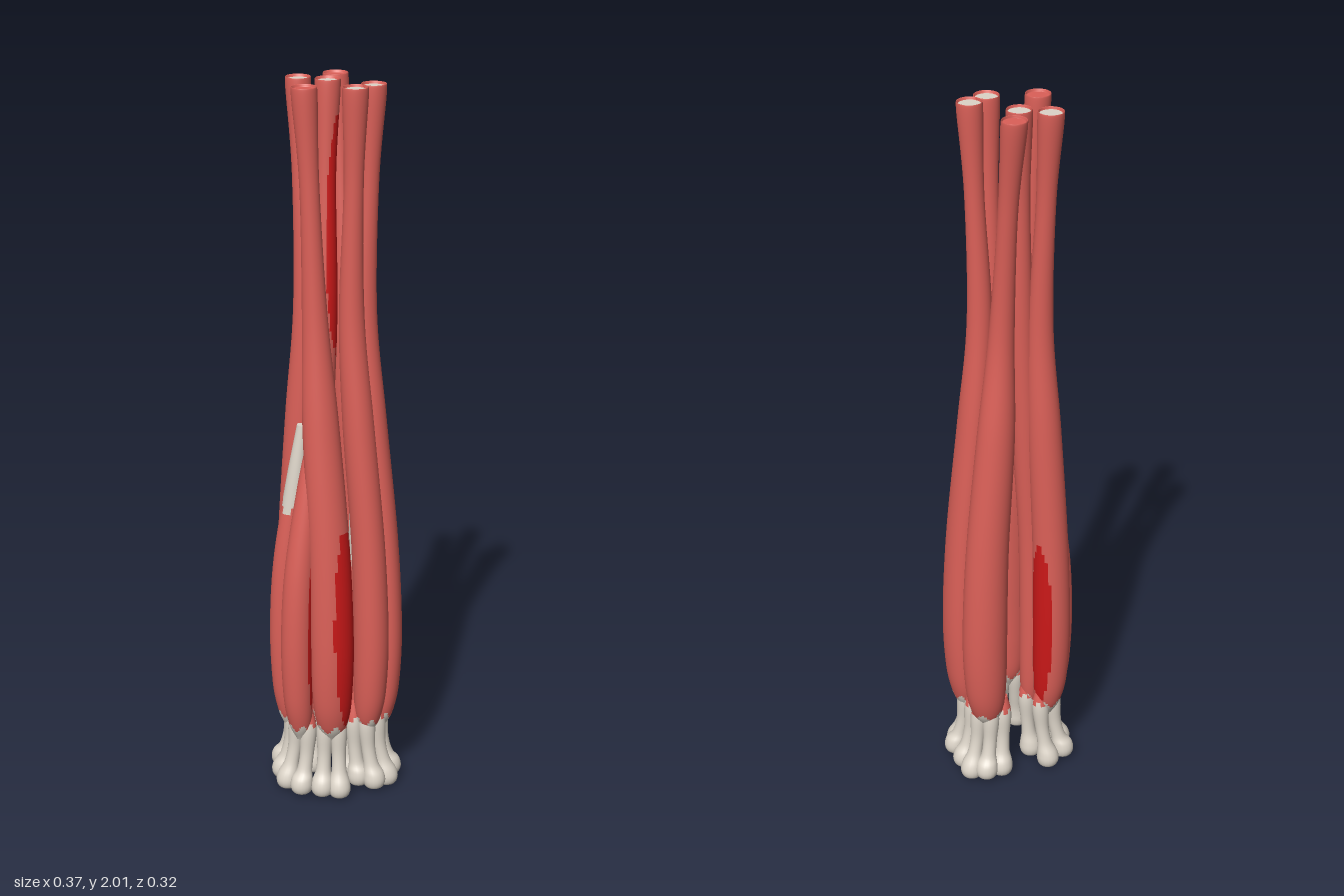
import * as THREE from 'three';

const muscleRed = new THREE.MeshStandardMaterial({ color: 0xdb6058 });
const tendonCream = new THREE.MeshStandardMaterial({ color: 0xdcd4c8 });
const deepRed = new THREE.MeshStandardMaterial({ color: 0xcb1818 });
const palette = [muscleRed, tendonCream, deepRed];
const RED = 0, CREAM = 1, DEEP = 2;

// Lofted strand through sections { y, x, z, rx, rz }, listed top to bottom.
// paint(y, angle) picks the colour of each face; topColour that of the end cap.
function strand(name, sections, paint, topColour, rings, sides) {
  const spline = (f) => new THREE.CatmullRomCurve3(sections.map(f), false, 'catmullrom', 0.5);
  const path = spline((s) => new THREE.Vector3(s.x, s.y, s.z));
  const size = spline((s) => new THREE.Vector3(s.rx, 0, s.rz));
  const pos = [], faces = palette.map(() => []);
  const addRing = (t) => {
    const p = path.getPoint(t), r = size.getPoint(t);
    for (let j = 0; j < sides; j++) {
      const a = (j / sides) * Math.PI * 2;
      pos.push(p.x + Math.cos(a) * r.x, p.y, p.z + Math.sin(a) * r.z);
    }
    return p;
  };
  for (let i = 0; i <= rings; i++) addRing(i / rings);
  for (let i = 0; i < rings; i++) {
    const y = path.getPoint((i + 0.5) / rings).y;
    for (let j = 0; j < sides; j++) {
      const a = i * sides + j, b = i * sides + ((j + 1) % sides);
      const c = a + sides, d = b + sides;
      faces[paint(y, ((j + 0.5) / sides) * Math.PI * 2)].push(a, b, c, b, d, c);
    }
  }
  // End caps with their own vertices so the rims stay crisp
  for (const end of [0, 1]) {
    const start = pos.length / 3;
    const p = addRing(end);
    pos.push(p.x, p.y, p.z);
    for (let j = 0; j < sides; j++) {
      const a = start + j, b = start + ((j + 1) % sides);
      faces[end ? CREAM : topColour].push(start + sides, end ? a : b, end ? b : a);
    }
  }
  const geo = new THREE.BufferGeometry();
  geo.setAttribute('position', new THREE.Float32BufferAttribute(pos, 3));
  geo.setIndex(faces.flat());
  let offset = 0;
  faces.forEach((f, m) => {
    if (f.length) geo.addGroup(offset, f.length, m);
    offset += f.length;
  });
  geo.computeVertexNormals();
  const mesh = new THREE.Mesh(geo, palette);
  mesh.name = name;
  return mesh;
}

// Red belly with a ragged cream lower end and an optional deep red lens-shaped patch
function bellyPaint({ patch, creamAbove = 3 }) {
  return (y, a) => {
    if (y < 0.212 + 0.012 * Math.sin(a * 5) || y > creamAbove + 0.03 * Math.sin(a * 2)) return CREAM;
    if (patch) {
      const v = (y - patch.y) / patch.half;
      const turn = Math.atan2(Math.sin(a - patch.angle), Math.cos(a - patch.angle));
      if (Math.abs(v) < 1 && Math.abs(turn) < patch.width * Math.sqrt(1 - v * v)) return DEEP;
    }
    return RED;
  };
}

const mix = THREE.MathUtils.lerp;

// Section at height y, t of the way from point p to point q
const between = (y, p, q, t, rx, rz = rx) => ({ y, x: mix(p[0], q[0], t), z: mix(p[1], q[1], t), rx, rz });

// Shared lower half: fullest at 0.48, drawn in towards the axis below
function lowerBelly(at, r, rz) {
  const section = (y, shrink, k) => between(y, [0, 0], at, shrink, r * k, rz * k);
  return [section(0.48, 1, 1), section(0.31, 0.98, 0.93), section(0.22, 0.93, 0.72), section(0.17, 0.91, 0.28)];
}

// Full-height strand: rounded flared top, slim neck at mid height, long belly
function longStrand(name, top, mid, at, r, rz, topColour, paint = {}) {
  const sections = [
    between(2, top, mid, 0, 0.029),
    between(1.985, top, mid, 0, 0.034),
    between(1.75, top, mid, 0.48, 0.026),
    between(1.4, top, mid, 1, 0.034),
    between(1.1, mid, at, 0.33, mix(0.034, r, 0.6), mix(0.034, rz, 0.6)),
    between(0.75, mid, at, 0.83, r * 0.94, rz * 0.94),
    ...lowerBelly(at, r, rz),
  ];
  return strand(name, sections, bellyPaint(paint), topColour, 110, 36);
}

// Short head that tapers out where it joins a neighbouring strand
function shortHead(name, top, at, r, rz, topColour, paint = {}) {
  const sections = [
    between(1.08, top, at, 0, 0.016),
    between(0.91, top, at, 0.38, r * 0.7),
    between(0.68, top, at, 0.85, r * 0.93, rz * 0.93),
    ...lowerBelly(at, r, rz),
  ];
  return strand(name, sections, bellyPaint(paint), topColour, 70, 36);
}

// Tendon that flares outward into a rounded foot
function tendonFoot([x, z], i) {
  const base = (i % 3) * 0.004;
  const section = (y, reach, r) => between(y, [0, 0], [x, z], reach, r);
  const sections = [
    section(0.26, 0.79, 0.012), section(0.2, 0.8, 0.024), section(0.13, 0.84, 0.02), section(0.08, 0.91, 0.021),
    section(0.048 + base, 0.98, 0.029), section(0.026 + base, 1, 0.032), section(0.008 + base, 1, 0.027),
    section(base, 1, 0.014),
  ];
  return strand('tendonFoot', sections, bellyPaint({}), RED, 32, 20);
}

// Foot positions [x, z], clockwise from the front, then the inner ones
const feet = [
  [-0.022, 0.126], [-0.068, 0.112], [-0.123, 0.092], [-0.15, 0.035], [-0.15, -0.02], [-0.136, -0.083],
  [-0.082, -0.103], [0.06, -0.098], [0.108, -0.104], [0.143, -0.075], [0.147, -0.02], [0.15, 0.045],
  [0.128, 0.088], [0.085, 0.108], [0.045, 0.085], [-0.055, -0.035], [0.03, 0.03],
];

export function createModel() {
  const model = new THREE.Group();
  model.name = 'muscleBundle';

  // Muscle strands around the hollow middle
  model.add(
    longStrand('frontStrand', [-0.09, 0.03], [-0.067, 0.04], [-0.037, 0.105], 0.06, 0.051, RED,
      { patch: { y: 0.52, half: 0.3, angle: 0.82, width: 0.85 } }),
    longStrand('backLowStrand', [-0.073, -0.101], [-0.066, -0.06], [-0.098, -0.08], 0.053, 0.052, CREAM,
      { patch: { y: 0.48, half: 0.27, angle: -0.5, width: 0.75 } }),
    longStrand('innerStrand', [-0.005, -0.06], [-0.02, -0.035], [-0.06, -0.03], 0.037, 0.037, CREAM,
      { patch: { y: 1.6, half: 0.32, angle: 0.6, width: 1.2 } }),
    longStrand('backStrand', [0.035, -0.127], [0.045, -0.065], [0.1, -0.074], 0.063, 0.059, RED),
    longStrand('sideStrand', [0.091, 0.036], [0.071, 0.03], [0.134, 0.048], 0.043, 0.06, CREAM),
    longStrand('frontSideStrand', [0.035, 0.065], [0.031, 0.05], [0.08, 0.084], 0.049, 0.055, CREAM),
    shortHead('frontHead', [-0.07, 0.045], [-0.13, 0.075], 0.044, 0.044, RED,
      { patch: { y: 0.55, half: 0.28, angle: 0.6, width: 0.5 } }),
    shortHead('sideHead', [-0.088, -0.012], [-0.145, -0.02], 0.038, 0.038, CREAM, { creamAbove: 0.86 }),
    shortHead('innerHead', [0.045, 0.035], [0.062, 0.025], 0.03, 0.03, CREAM, { creamAbove: 0.7 }),
  );

  // Tendon feet at the base
  const tendons = new THREE.Group();
  tendons.name = 'tendonFeet';
  tendons.add(...feet.map(tendonFoot));
  model.add(tendons);
  return model;
}
